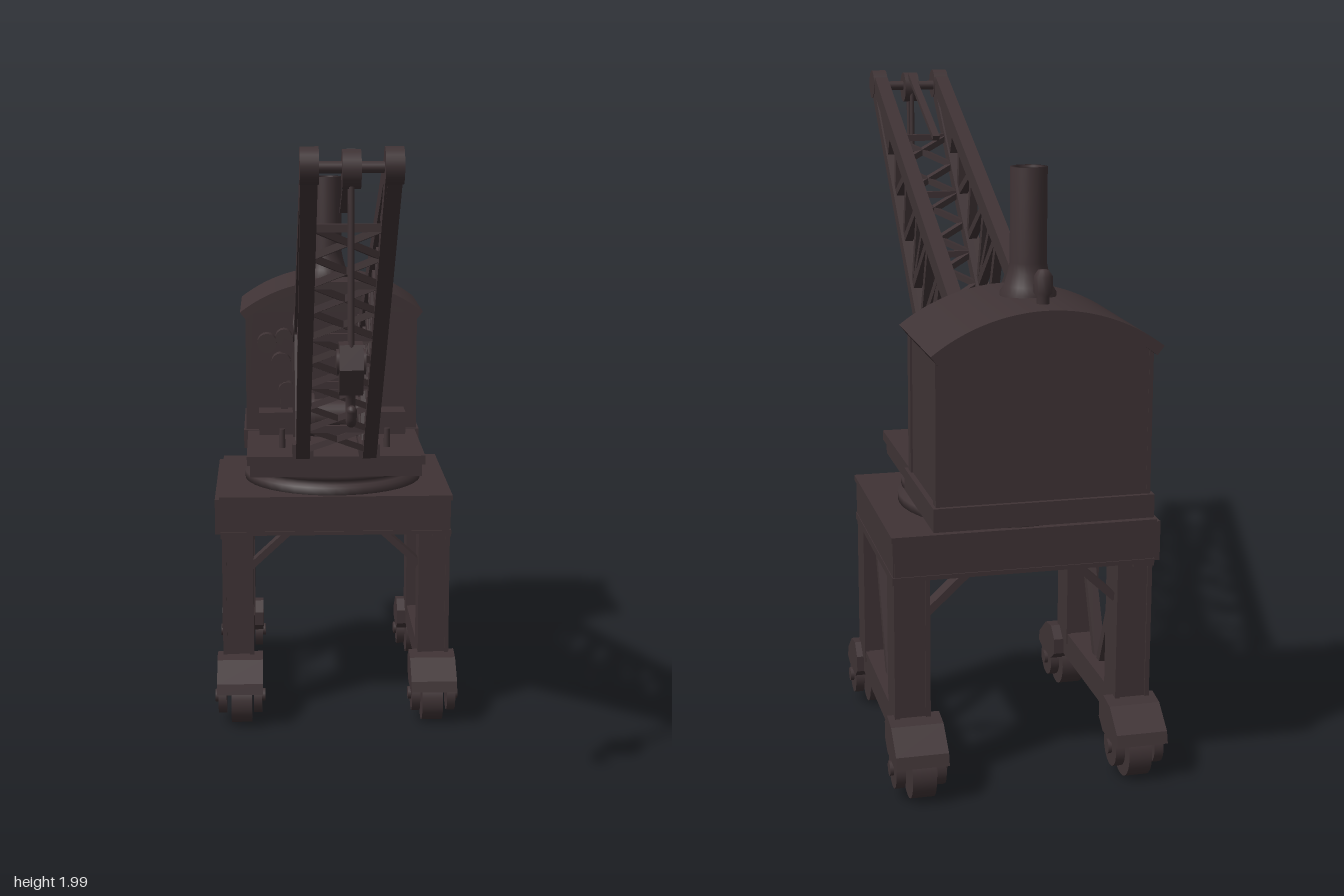
import * as THREE from 'three';

export function createModel() {
  const root = new THREE.Group();
  root.name = 'dockCrane';
  const iron = new THREE.MeshStandardMaterial({ color: 0x3f3335, side: THREE.DoubleSide });
  iron.name = 'darkIron';

  const group = (name) => {
    const g = new THREE.Group();
    g.name = name;
    root.add(g);
    return g;
  };
  const add = (parent, name, geo, x = 0, y = 0, z = 0) => {
    const m = new THREE.Mesh(geo, iron);
    m.name = name;
    m.position.set(x, y, z);
    parent.add(m);
    return m;
  };
  // box given by its limits on each axis
  const box = (p, name, x0, x1, y0, y1, z0, z1) =>
    add(p, name, new THREE.BoxGeometry(x1 - x0, y1 - y0, z1 - z0), (x0 + x1) / 2, (y0 + y1) / 2, (z0 + z1) / 2);
  // square bar between two points
  const bar = (p, name, a, b, w, h = w) => {
    const A = new THREE.Vector3(...a), B = new THREE.Vector3(...b);
    const m = add(p, name, new THREE.BoxGeometry(w, h, A.distanceTo(B)));
    m.position.copy(A).add(B).multiplyScalar(0.5);
    m.lookAt(B);
    return m;
  };
  // side plate: outline in (z, y), thickness centred on x
  const plate = (p, name, pts, x, w) => {
    const s = new THREE.Shape(pts.map(([z, y]) => new THREE.Vector2(z, y)));
    const g = new THREE.ExtrudeGeometry(s, { depth: w, bevelEnabled: false });
    g.rotateY(-Math.PI / 2);
    return add(p, name, g, x + w / 2);
  };
  const cylX = (p, name, r, w, x, y, z, n = 28) => {
    const g = new THREE.CylinderGeometry(r, r, w, n);
    g.rotateZ(Math.PI / 2);
    return add(p, name, g, x, y, z);
  };
  const lathe = (pts, n = 40) => new THREE.LatheGeometry(pts.map(([r, y]) => new THREE.Vector2(r, y)), n);

  // ---- Gantry: legs, sills, wheels and braces ----
  const gantry = group('gantry');
  const mid = -0.45;
  for (const s of [-1, 1]) {
    const X = s * 0.335;
    box(gantry, 'sill', X - 0.05, X + 0.05, 0.15, 0.235, -0.76, -0.14);
    for (const e of [-1, 1]) {
      const zl = mid + e * 0.26;
      box(gantry, 'leg', X - 0.04, X + 0.04, 0.2, 0.68, zl - 0.05, zl + 0.05);
      for (const f of [-1, 1])
        box(gantry, 'legFlange', X + f * 0.046 - 0.007, X + f * 0.046 + 0.007, 0.2, 0.67, zl - 0.055, zl + 0.055);
      bar(gantry, 'sideBrace', [X, 0.64, mid + e * 0.205], [X, 0.23, mid + e * 0.02], 0.035, 0.028);
      bar(gantry, 'kneeBrace', [s * 0.285, 0.54, zl], [s * 0.15, 0.665, zl], 0.05, 0.022);
      // wheel bogie
      const zw = mid + e * 0.34;
      const hood = [[0.1, 0.13], [0.09, 0.165], [0.015, 0.225], [-0.05, 0.235], [-0.09, 0.2], [-0.09, 0.15], [-0.05, 0.12], [0.06, 0.12]]
        .map(([z, y]) => [zw + e * z, y]);
      plate(gantry, 'wheelHood', hood, s * 0.33, 0.155);
      cylX(gantry, 'wheel', 0.083, 0.07, s * 0.325, 0.09, zw + e * 0.015);
      for (const f of [-1, 1]) {
        cylX(gantry, 'axleCheek', 0.06, 0.028, s * 0.33 + f * 0.06, 0.1, zw + e * 0.015, 16);
        cylX(gantry, 'axleCap', 0.022, 0.02, s * 0.33 + f * 0.075, 0.1, zw + e * 0.015, 12);
      }
    }
    // platform girders along z
    box(gantry, 'sideGirder', X + s * 0.045 - 0.03, X + s * 0.045 + 0.01, 0.66, 0.78, -0.765, -0.135);
  }
  for (const z of [-0.75, -0.15]) box(gantry, 'crossGirder', -0.385, 0.385, 0.66, 0.78, z - 0.018, z + 0.018);
  for (const s of [-1, 1]) {
    box(gantry, 'girderLip', s * 0.36 - 0.032, s * 0.36 + 0.032, 0.645, 0.668, -0.77, -0.13);
    const zc = mid + s * 0.29;
    box(gantry, 'girderLip', -0.39, 0.39, 0.655, 0.668, zc - 0.032, zc + 0.032);
  }
  box(gantry, 'platformDeck', -0.385, 0.385, 0.74, 0.78, -0.765, -0.135);
  box(gantry, 'platformTop', -0.395, 0.395, 0.773, 0.79, -0.775, -0.125);

  // ---- Turntable and revolving deck ----
  const turn = group('turntable');
  add(turn, 'slewRing', lathe([[0, 0.785], [0.31, 0.785], [0.31, 0.815], [0.285, 0.82], [0.285, 0.835], [0.3, 0.84], [0.3, 0.86], [0, 0.86]]), 0, 0, mid);
  box(turn, 'revolvingDeck', -0.29, 0.29, 0.858, 0.9, -0.72, -0.13);
  box(turn, 'deckTop', -0.3, 0.3, 0.9, 0.93, -0.7, -0.12);
  box(turn, 'cabinBase', -0.315, 0.315, 0.865, 0.932, -0.975, -0.56);

  // ---- Cabin with arched roof, chimney and whistle ----
  const cabin = group('cabin');
  const arch = Math.asin(0.6);
  const wall = new THREE.Shape();
  wall.moveTo(-0.3, 0.92);
  wall.lineTo(0.3, 0.92);
  wall.absarc(0, 0.94, 0.5, Math.PI / 2 - arch, Math.PI / 2 + arch, false);
  wall.closePath();
  add(cabin, 'cabinBody', new THREE.ExtrudeGeometry(wall, { depth: 0.385, bevelEnabled: false, curveSegments: 24 }), 0, 0, -0.962);
  const roof = new THREE.Shape();
  roof.absarc(0, 0.94, 0.53, Math.PI / 2 - 0.66, Math.PI / 2 + 0.66, false);
  roof.absarc(0, 0.94, 0.498, Math.PI / 2 + 0.66, Math.PI / 2 - 0.66, true);
  roof.closePath();
  add(cabin, 'roof', new THREE.ExtrudeGeometry(roof, { depth: 0.445, bevelEnabled: false, curveSegments: 24 }), 0, 0, -0.995);
  for (const s of [-1, 1]) for (const z of [-0.945, -0.595])
    box(cabin, 'cornerPost', s * 0.3 - 0.006, s * 0.3 + 0.006, 0.93, 1.35, z - 0.018, z + 0.018);
  add(cabin, 'chimney', lathe([[0.08, 1.44], [0.08, 1.475], [0.068, 1.495], [0.058, 1.53], [0.052, 1.56], [0.052, 1.825], [0.036, 1.825], [0.036, 1.74], [0, 1.74]], 28), -0.01, 0, -0.73);
  add(cabin, 'whistle', lathe([[0.018, 1.44], [0.018, 1.49], [0.026, 1.5], [0.026, 1.545], [0.015, 1.562], [0, 1.565]], 16), -0.01, 0, -0.89);

  // ---- Jib: two side trusses tied by cross bracing ----
  const jib = group('jib');
  const lerp = (a, b, t) => a.map((v, i) => v + (b[i] - v) * t);
  const topTip = [0, 1.95, 0.9], topEnd = [0, 1.325, -0.42];
  const lowTip = [0, 1.93, 0.93], lowEnd = [0, 0.935, -0.14];
  const top = (t, x) => { const p = lerp(topTip, topEnd, t); p[0] = x; return p; };
  const low = (t, x) => { const p = lerp(lowTip, lowEnd, t); p[0] = x; return p; };
  const web = [0.27, 0.34, 0.41, 0.48, 0.55, 0.62, 0.68, 0.74, 0.81, 0.88, 0.95];
  for (const s of [-1, 1]) {
    const x = s * 0.112;
    bar(jib, 'upperChord', top(0, x), top(1, x), 0.046, 0.06);
    bar(jib, 'lowerChord', low(0, x), low(1, x), 0.046, 0.045);
    bar(jib, 'heelPost', top(1, x), [x, 0.93, -0.2], 0.046, 0.05);
    bar(jib, 'rearStay', [s * 0.125, 1.33, -0.45], [s * 0.125, 0.92, -0.455], 0.03, 0.03);
    plate(jib, 'tipPlate', [[0.93, 1.97], [0.97, 1.93], [0.69, 1.69], [0.62, 1.82]], x, 0.034);
    cylX(jib, 'tipBoss', 0.05, 0.05, x, 1.95, 0.945, 20);
    cylX(jib, 'heelBoss', 0.048, 0.054, x, 1.32, -0.425, 20);
    box(jib, 'footBracket', x - 0.035, x + 0.035, 0.92, 0.97, -0.25, -0.12);
    web.forEach((t, i) => {
      if (i === web.length - 1) return;
      const u = web[i + 1];
      if (i % 2) bar(jib, 'webBar', low(t, x), top(u, x), 0.028, 0.026);
      else bar(jib, 'webBar', top(t, x), low(u, x), 0.028, 0.026);
      if (i === 5 || i === 8) bar(jib, 'webPost', top(t, x), low(t, x), 0.026, 0.022);
    });
  }
  // crossed ties between the lower chords
  const bays = 9;
  for (let i = 0; i < bays; i++) {
    const a = 0.16 + (0.82 * i) / bays, b = 0.16 + (0.82 * (i + 1)) / bays;
    for (const s of [-1, 1]) bar(jib, 'crossTie', low(a, s * 0.1), low(b, -s * 0.1), 0.024, 0.02);
    if (i % 2 === 0) bar(jib, 'straightTie', low(a, -0.1), low(a, 0.1), 0.022, 0.022);
  }
  cylX(jib, 'tipAxle', 0.016, 0.24, 0, 1.945, 0.93, 14);
  cylX(jib, 'headSheave', 0.052, 0.05, 0, 1.94, 0.925, 24);
  bar(jib, 'topRod', [0, 1.985, 0.9], [0, 1.795, 0.46], 0.024, 0.016);

  // ---- Hoist ropes, block and hook ----
  const hoist = group('hoist');
  for (const z of [0.885, 0.945])
    add(hoist, 'rope', new THREE.CylinderGeometry(0.008, 0.008, 0.52, 10), 0, 1.69, z);
  plate(hoist, 'hookBlock', [[0.95, 1.475], [0.88, 1.475], [0.862, 1.41], [0.9, 1.335], [0.935, 1.335], [0.975, 1.41]], 0, 0.065);
  cylX(hoist, 'blockSheave', 0.035, 0.08, 0, 1.425, 0.918, 20);
  const hookPath = new THREE.CatmullRomCurve3([[0.915, 1.35], [0.9, 1.325], [0.892, 1.295], [0.905, 1.268], [0.93, 1.26], [0.955, 1.272], [0.968, 1.3]]
    .map(([z, y]) => new THREE.Vector3(0, y, z)));
  add(hoist, 'hook', new THREE.TubeGeometry(hookPath, 24, 0.014, 10));
  add(hoist, 'hookPoint', new THREE.SphereGeometry(0.014, 10, 8), 0, 1.3, 0.968);

  // ---- Winch, gears and levers in front of the cabin ----
  const winch = group('winch');
  cylX(winch, 'drum', 0.055, 0.15, 0, 1.03, -0.34, 24);
  for (const s of [-1, 1]) {
    cylX(winch, 'drumFlange', 0.075, 0.014, s * 0.075, 1.03, -0.34, 24);
    plate(winch, 'winchFrame', [[-0.26, 0.92], [-0.32, 1.08], [-0.4, 1.08], [-0.45, 0.92]], s * 0.09, 0.016);
    add(winch, 'lever', new THREE.CylinderGeometry(0.01, 0.012, 0.07, 10), s * 0.18, 0.96, -0.27);
    box(winch, 'lowBox', s * 0.2 - 0.06, s * 0.2 + 0.06, 0.925, 1.01, -0.58, -0.48);
  }
  box(winch, 'engineBlock', -0.07, 0.07, 0.92, 1.1, -0.58, -0.44);
  for (const [x, y, r] of [[-0.23, 1.25, 0.035], [-0.17, 1.27, 0.03], [-0.18, 1.18, 0.035], [-0.16, 1.08, 0.03]]) {
    const g = new THREE.CylinderGeometry(r, r, 0.05, 16);
    g.rotateX(Math.PI / 2);
    add(winch, 'valveWheel', g, x, y, -0.555);
  }
  bar(winch, 'valvePipe', [-0.17, 0.93, -0.56], [-0.17, 1.27, -0.56], 0.025);

  return root;
}
